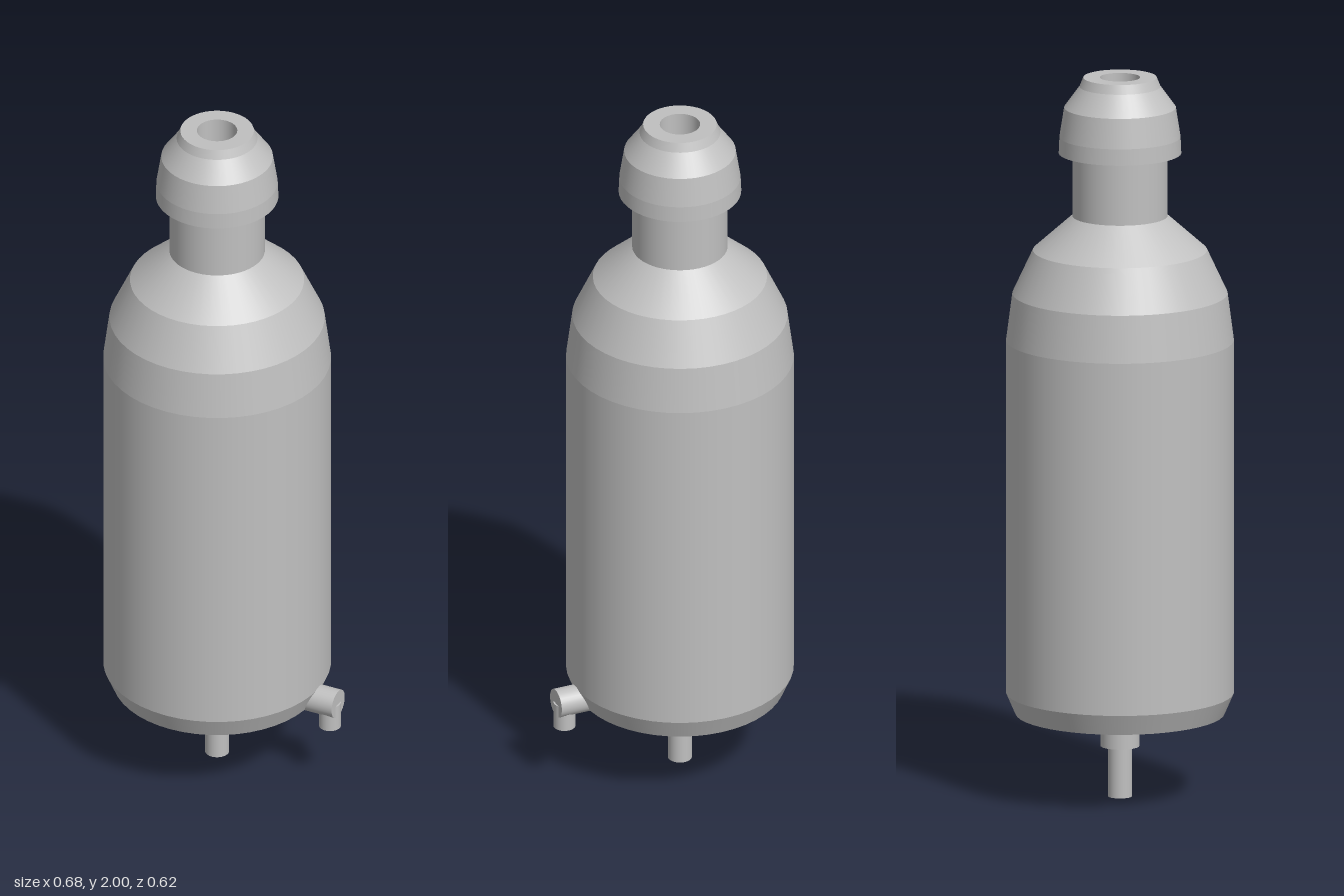
import * as THREE from 'three';
import { mergeGeometries } from 'three/addons/utils/BufferGeometryUtils.js';

const AXIS_X = -0.033; // the bottle stands beside the origin, balanced by the tap

// Revolves [radius, height] points; round sides are smooth, steps between bands stay sharp
function turned(points, segments = 48) {
  const bands = [];
  for (let i = 0; i + 1 < points.length; i++) {
    const pair = [points[i], points[i + 1]].map(([r, y]) => new THREE.Vector2(r, y));
    bands.push(new THREE.LatheGeometry(pair, segments));
  }
  return mergeGeometries(bands);
}

export function createModel() {
  const group = new THREE.Group();
  const grey = new THREE.MeshStandardMaterial({ color: 0xc0c0c0 });
  grey.name = 'plainGrey';

  const add = (name, geometry, x = AXIS_X, y = 0) => {
    const mesh = new THREE.Mesh(geometry, grey);
    mesh.name = name;
    mesh.position.set(x, y, 0);
    group.add(mesh);
    return mesh;
  };

  // Tank with recessed base, rounded shoulder and neck
  add('tank', turned([
    [0, 0.225], [0.08, 0.225], [0.114, 0.206], [0.285, 0.232], [0.31, 0.29],
    [0.31, 1.27], [0.293, 1.4], [0.237, 1.52], [0.13, 1.615], [0.13, 1.82],
  ]));

  // Overhanging cap with an open bore
  add('cap', turned([
    [0.13, 1.8], [0.155, 1.8], [0.158, 1.79], [0.167, 1.79], [0.165, 1.835],
    [0.152, 1.917], [0.11, 1.975], [0.1, 2], [0.055, 2], [0.055, 1.8], [0, 1.8],
  ]));

  // Drain collar and pipe under the base
  add('drainCollar', turned([[0, 0.14], [0.053, 0.14], [0.053, 0.23]], 32));
  add('drainPipe', turned([[0, 0], [0.033, 0], [0.033, 0.15]], 32));

  // Side tap: horizontal barrel with a spout pointing down
  const barrel = add('tapBarrel', new THREE.CylinderGeometry(0.04, 0.04, 0.185, 32), 0.2425, 0.256);
  barrel.rotation.z = -Math.PI / 2;
  add('tapSpout', new THREE.CylinderGeometry(0.03, 0.03, 0.075, 32), 0.31, 0.2175);

  return group;
}
